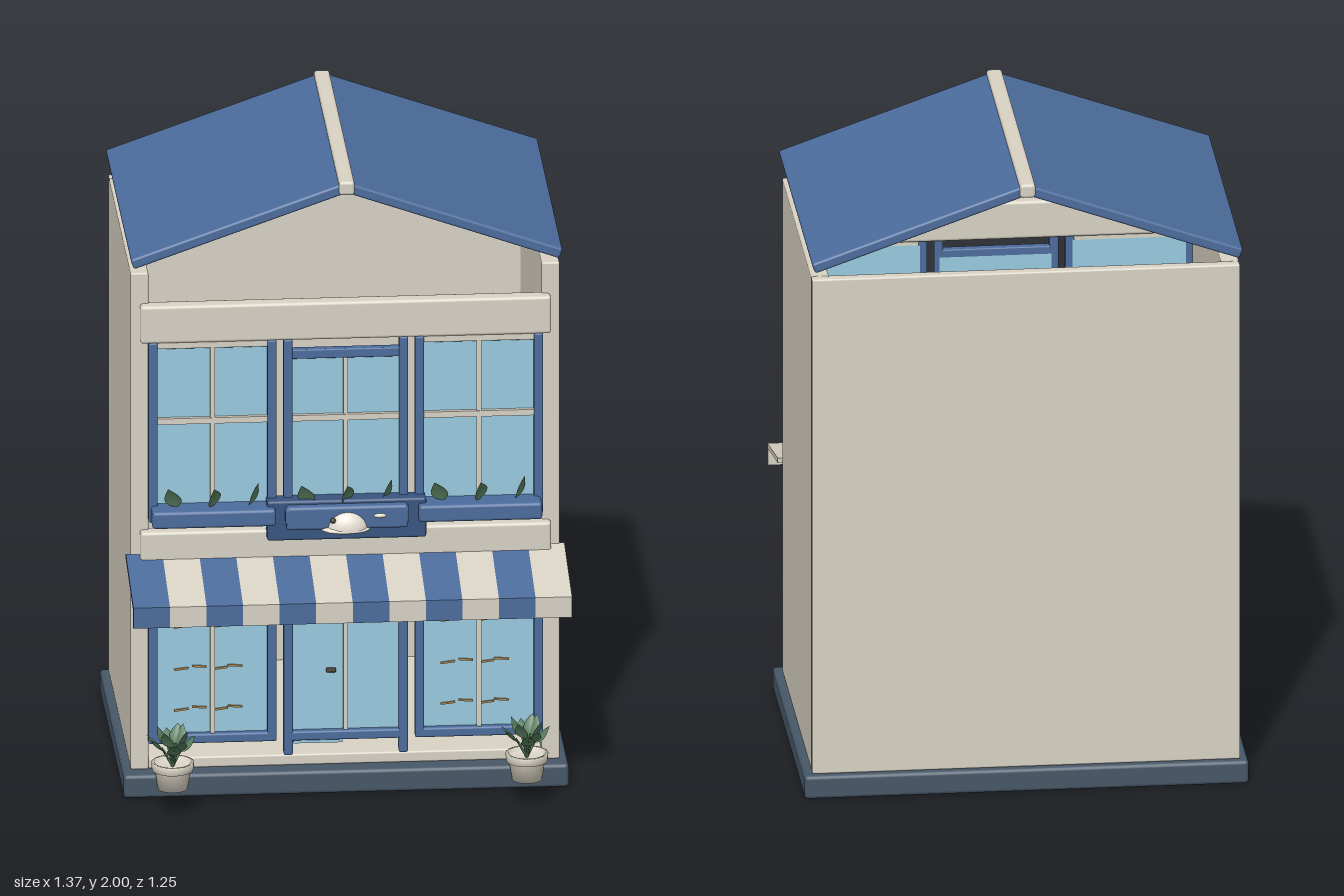
import * as THREE from 'three';
import { RoundedBoxGeometry } from 'three/addons/geometries/RoundedBoxGeometry.js';

const mat = (color, side = THREE.FrontSide) => new THREE.MeshStandardMaterial({ color, side });

export function createModel() {
  const model = new THREE.Group();
  const cream = mat(0xd8d2c4), blue = mat(0x4c6c9c), navy = mat(0x38547f), glass = mat(0x98cbe0);
  const slate = mat(0x465767), tan = mat(0xb08850), white = mat(0xe6e0d4), dark = mat(0x4a4438);
  const green = mat(0x557a5c, THREE.DoubleSide);

  const add = (parent, name, geo, material, x = 0, y = 0, z = 0) => {
    const m = new THREE.Mesh(geo, material);
    m.name = name;
    m.position.set(x, y, z);
    parent.add(m);
    return m;
  };
  // Box given by its extents, with softly rounded edges when r > 0
  const block = (parent, name, material, [x0, x1], [y0, y1], [z0, z1], r = 0.006) => {
    const w = x1 - x0, h = y1 - y0, d = z1 - z0;
    const geo = r > 0 ? new RoundedBoxGeometry(w, h, d, 2, r) : new THREE.BoxGeometry(w, h, d);
    return add(parent, name, geo, material, (x0 + x1) / 2, (y0 + y1) / 2, (z0 + z1) / 2);
  };
  const group = (name, parent = model) => {
    const g = new THREE.Group();
    g.name = name;
    parent.add(g);
    return g;
  };

  // Base, floor and walls, open above
  block(model, 'base', slate, [-0.685, 0.685], [0, 0.075], [-0.595, 0.378], 0.012);
  block(model, 'floor', cream, [-0.605, 0.605], [0.075, 0.11], [-0.54, 0.32]);
  for (const s of [-1, 1]) {
    block(model, 'sideWall', cream, s < 0 ? [-0.66, -0.605] : [0.605, 0.66], [0.075, 1.695], [-0.54, 0.325]);
  }
  block(model, 'backWall', cream, [-0.66, 0.66], [0.075, 1.695], [-0.575, -0.538]);
  block(model, 'cornice', cream, [-0.632, 0.632], [1.473, 1.595], [0.305, 0.357], 0.01);
  block(model, 'middleBand', cream, [-0.632, 0.632], [0.735, 0.858], [0.305, 0.357], 0.01);

  // Gable roof with ridge cap
  const pitch = Math.atan2(0.235, 0.665), slabLength = 0.698;
  for (const s of [-1, 1]) {
    const slab = add(model, 'roofSlope', new RoundedBoxGeometry(slabLength, 0.034, 1.004, 2, 0.008), blue);
    slab.position.set(s * 0.331, 1.861, -0.113);
    slab.rotation.z = -s * pitch;
  }
  block(model, 'ridgeCap', cream, [-0.024, 0.024], [1.955, 2.0], [-0.624, 0.396], 0.01);

  // A leaf: pointed outline, folded along the midrib and drooping at the tip
  const leafGeometry = (length, width) => {
    const geo = new THREE.PlaneGeometry(1, 1, 2, 6);
    const p = geo.attributes.position;
    for (let i = 0; i < p.count; i++) {
      const t = p.getY(i) + 0.5, u = p.getX(i) * 2;
      const half = width / 2 * Math.sin(Math.PI * Math.pow(t, 0.8));
      p.setXYZ(i, u * half, t * length, Math.abs(u) * half * 0.35 + t * t * length * 0.25);
    }
    geo.computeVertexNormals();
    return geo;
  };

  // Upper windows with frames and flower boxes
  const front = [0.322, 0.357];
  const bars = (g, cx, y0, y1) =>
    block(g, 'mullion', cream, [cx - 0.007, cx + 0.007], [y0, y1], [0.333, 0.349], 0);
  const boxLeaf = leafGeometry(0.075, 0.055);
  for (const cx of [-0.41, 0, 0.41]) {
    const g = group('upperWindow'), mid = cx === 0, top = mid ? 1.415 : 1.458;
    const half = mid ? 0.192 : 0.197;
    block(g, 'pane', glass, [cx - 0.175, cx + 0.175], [0.9, top], [0.322, 0.336], 0);
    for (const s of [-1, 1]) {
      const x = cx + s * (half - 0.014);
      block(g, 'stile', blue, [x - 0.014, x + 0.014], [0.89, 1.476], front);
    }
    block(g, 'headRail', mid ? blue : cream, [cx - 0.17, cx + 0.17], [top - 0.005, top + 0.025], [0.322, 0.35], 0.004);
    bars(g, cx, 0.94, top);
    block(g, 'transom', cream, [cx - 0.17, cx + 0.17], [1.207, 1.226], [0.333, 0.35], 0);
    block(g, 'flowerBox', blue, [cx - 0.19, cx + 0.19], [0.89, 0.945], [0.322, 0.42], 0.01);
    [-0.11, 0, 0.11].forEach((dx, i) => {
      const leaf = add(g, 'boxLeaf', boxLeaf, green, cx + dx, 0.945, 0.37);
      leaf.rotation.set(0.2, [-0.3, 0.7, 1.1][i], [0.35, 0.2, -0.4][i]);
    });
  }

  // Panel with a smooth shell ornament below the middle window
  block(model, 'signPanel', navy, [-0.245, 0.245], [0.833, 0.962], [0.33, 0.392], 0.008);
  block(model, 'signFrame', blue, [-0.187, 0.187], [0.875, 0.95], [0.36, 0.42], 0.01);
  const shell = group('shellOrnament');
  add(shell, 'shell', new THREE.SphereGeometry(1, 24, 12, 0, Math.PI * 2, 0, Math.PI / 2), white, 0, 0.872, 0.412)
    .scale.set(0.062, 0.06, 0.038);
  add(shell, 'shellLip', new THREE.SphereGeometry(1, 24, 12), white, -0.005, 0.875, 0.415).scale.set(0.075, 0.012, 0.035);
  add(shell, 'shellKnob', new THREE.SphereGeometry(0.009, 10, 8), dark, -0.045, 0.908, 0.428);
  add(shell, 'accent', new THREE.SphereGeometry(1, 12, 8), white, 0.1, 0.918, 0.42).scale.set(0.02, 0.007, 0.007);

  // Shop windows with small shelf goods
  for (const cx of [-0.41, 0.41]) {
    const g = group('shopWindow');
    block(g, 'pane', glass, [cx - 0.175, cx + 0.175], [0.18, 0.745], [0.322, 0.336], 0);
    for (const s of [-1, 1]) {
      const x = cx + s * 0.183;
      block(g, 'stile', blue, [x - 0.014, x + 0.014], [0.167, 0.745], front);
    }
    block(g, 'bottomRail', blue, [cx - 0.18, cx + 0.18], [0.167, 0.197], front);
    bars(g, cx, 0.195, 0.745);
    for (const y of [0.272, 0.405, 0.543]) {
      [-0.095, -0.04, 0.025, 0.07].forEach((dx, i) => {
        const good = add(g, 'shelfGood', new THREE.BoxGeometry(0.045, 0.006, 0.006), tan, cx + dx, y + (i % 2) * 0.007, 0.338);
        good.rotation.z = i % 2 ? -0.08 : 0.12;
      });
    }
  }

  // Glazed double door
  const door = group('door');
  block(door, 'pane', glass, [-0.17, 0.17], [0.18, 0.745], [0.322, 0.336], 0);
  for (const x of [-0.177, 0.177]) block(door, 'post', blue, [x - 0.014, x + 0.014], [0.12, 0.745], front);
  block(door, 'bottomRail', blue, [-0.17, 0.17], [0.167, 0.197], front);
  block(door, 'threshold', glass, [-0.16, -0.01], [0.153, 0.165], [0.322, 0.34], 0);
  bars(door, 0, 0.195, 0.745);
  block(door, 'handle', dark, [-0.06, -0.03], [0.385, 0.397], [0.336, 0.352], 0.003);

  // Striped awning: one bent strip per stripe
  const profile = new THREE.Shape([
    [0.32, 0.778], [0.628, 0.712], [0.628, 0.645], [0.614, 0.645], [0.614, 0.7], [0.32, 0.762],
  ].map(([z, y]) => new THREE.Vector2(-z, y)));
  const awning = group('awning'), stripe = 1.35 / 12;
  const stripeGeo = new THREE.ExtrudeGeometry(profile, { depth: stripe, bevelEnabled: false });
  stripeGeo.rotateY(Math.PI / 2);
  for (let i = 0; i < 12; i++) add(awning, 'awningStripe', stripeGeo, i % 2 ? cream : blue, -0.675 + i * stripe);

  // Potted plants either side of the entrance
  const potProfile = [[0, 0], [0.047, 0], [0.056, 0.06], [0.064, 0.06], [0.066, 0.085], [0.056, 0.085], [0.053, 0.07], [0, 0.07]];
  const potGeo = new THREE.LatheGeometry(potProfile.map(([r, y]) => new THREE.Vector2(r, y)), 20);
  const plantLeaf = leafGeometry(0.068, 0.045);
  for (const x of [-0.545, 0.545]) {
    const g = group('pottedPlant');
    g.position.set(x, 0.08, 0.51);
    add(g, 'pot', potGeo, mat(0xd8d2c4, THREE.DoubleSide));
    for (let i = 0; i < 11; i++) {
      const a = i * 2.4, inner = i % 2, tilt = inner ? 0.25 : 0.5;
      const stem = group('stem', g);
      stem.position.y = 0.07;
      stem.rotation.set(tilt, a, 0, 'YXZ');
      const h = inner ? 0.072 : 0.055 + (i % 3) * 0.008;
      add(stem, 'stalk', new THREE.CylinderGeometry(0.003, 0.004, h, 6), green, 0, h / 2, 0);
      add(stem, 'leaf', plantLeaf, green, 0, h - 0.005, 0).rotation.x = 0.05;
    }
  }
  return model;
}
